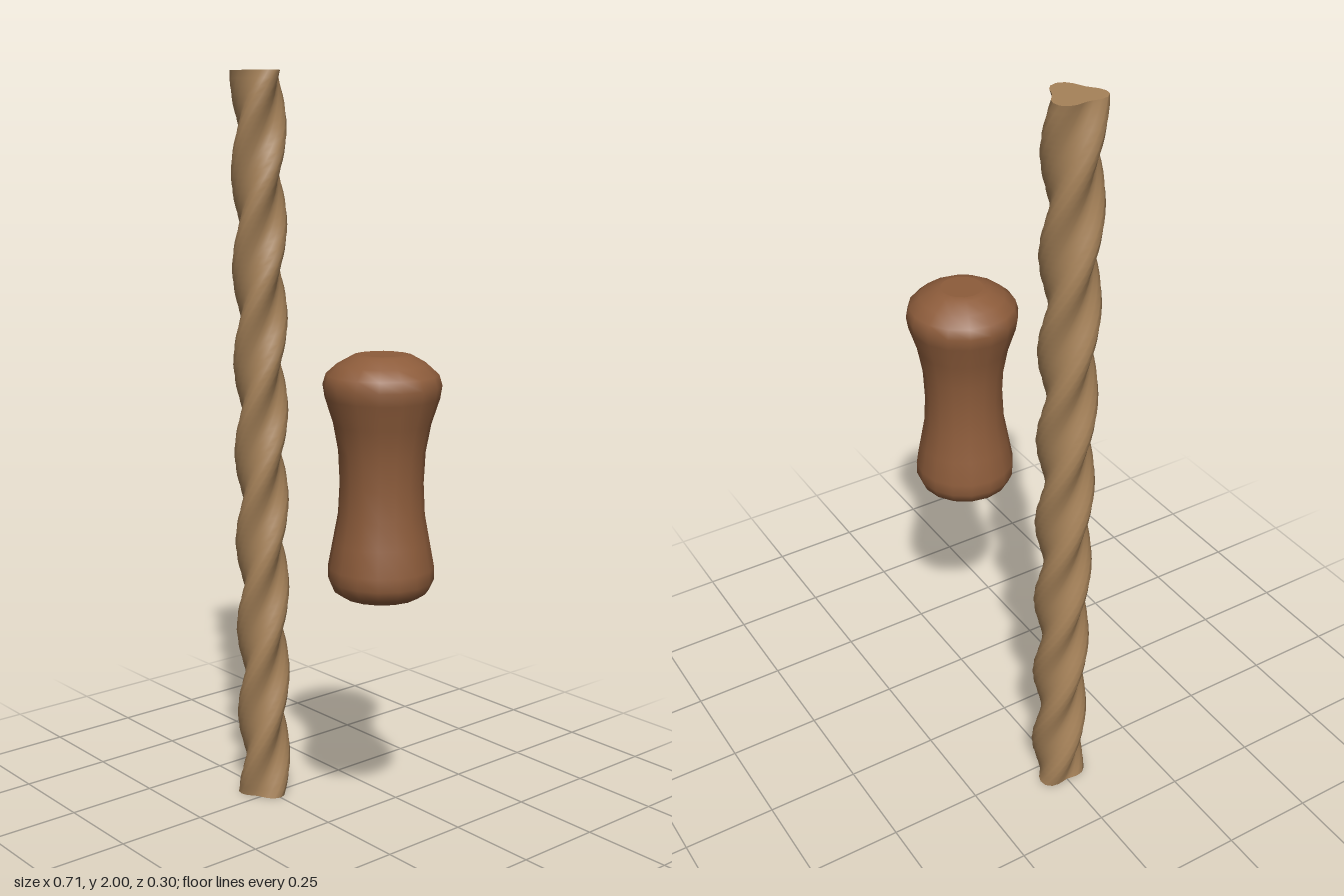
import * as THREE from 'three';
import { mergeVertices } from 'three/addons/utils/BufferGeometryUtils.js';

const ropeTan = new THREE.MeshStandardMaterial({ color: 0xa68259 });
ropeTan.name = 'rope tan';
const woodBrown = new THREE.MeshStandardMaterial({ color: 0x8d5c3b });
woodBrown.name = 'wood brown';

// Three-strand rope: a cylinder with a three-lobed section, twisted along its height
function ropeGeometry(height, strands, lobesAlongEdge) {
  let geo = new THREE.CylinderGeometry(1, 1, height, 24, 96);
  geo.deleteAttribute('uv');
  geo = mergeVertices(geo); // closes the side seam, keeps the cap edges sharp
  const pos = geo.attributes.position;
  const twist = (lobesAlongEdge * 2 * Math.PI) / strands;
  for (let i = 0; i < pos.count; i++) {
    const x = pos.getX(i), y = pos.getY(i), z = pos.getZ(i);
    if (Math.hypot(x, z) < 0.5) continue; // cap centres
    const a = Math.atan2(z, x);
    const r = 0.0615 + 0.0125 * Math.cos(strands * a);
    const turned = a + twist * (0.5 - y / height);
    pos.setXYZ(i, r * Math.cos(turned), y, r * Math.sin(turned));
  }
  geo.computeVertexNormals();
  return geo;
}

// Turned wooden handle: waisted profile, from bottom to top
const handleProfile = [
  [0.07, 0.695], [0.1, 0.7], [0.122, 0.715], [0.134, 0.742], [0.134, 0.775],
  [0.122, 0.84], [0.109, 0.91], [0.105, 0.99], [0.109, 1.07], [0.122, 1.14],
  [0.143, 1.205], [0.148, 1.237], [0.14, 1.264], [0.112, 1.289], [0.074, 1.31], [0.056, 1.313],
].map(([r, y]) => new THREE.Vector2(r, y));

export function createModel() {
  const model = new THREE.Group();

  const rope = new THREE.Mesh(ropeGeometry(2, 3, 8), ropeTan);
  rope.name = 'rope';
  rope.position.set(-0.283, 1, 0);
  model.add(rope);

  const handle = new THREE.Group();
  handle.name = 'handle';
  handle.position.x = 0.207;
  const grip = new THREE.Mesh(new THREE.LatheGeometry(handleProfile, 16), woodBrown);
  grip.name = 'grip';
  handle.add(grip);

  // Flat end faces
  const ends = [
    ['bottomEnd', handleProfile[0], Math.PI / 2],
    ['topEnd', handleProfile[handleProfile.length - 1], -Math.PI / 2],
  ];
  for (const [name, point, tilt] of ends) {
    const end = new THREE.Mesh(new THREE.CircleGeometry(point.x, 16), woodBrown);
    end.name = name;
    end.rotation.x = tilt;
    end.position.y = point.y;
    handle.add(end);
  }
  model.add(handle);
  return model;
}
